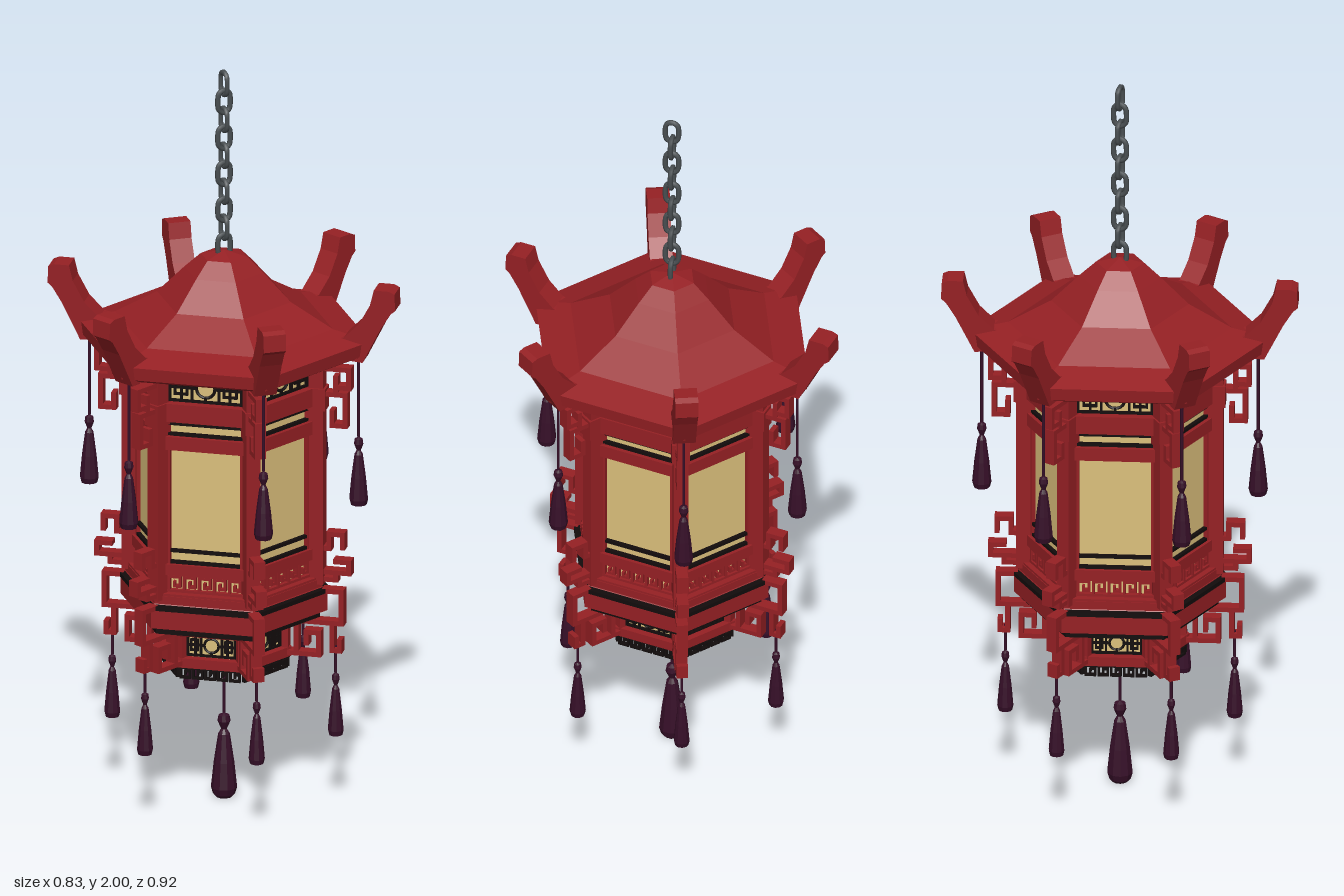
import * as THREE from 'three';
import { mergeGeometries } from 'three/addons/utils/BufferGeometryUtils.js';

const mat = (name, color) => {
  const m = new THREE.MeshStandardMaterial({ color });
  m.name = name;
  return m;
};

export function createModel() {
  const root = new THREE.Group();
  root.name = 'hangingLantern';
  const red = mat('lacquerRed', 0x962024);
  const cream = mat('paperCream', 0xdcc07c);
  const black = mat('inkBlack', 0x120c0c);
  const plum = mat('tasselPlum', 0x360f28);
  const iron = mat('chainIron', 0x4a5053);

  const add = (parent, name, geo, material) => {
    const m = new THREE.Mesh(geo, material);
    m.name = name;
    parent.add(m);
    return m;
  };
  // faceted lathe; six sides put corners on +z and -z
  const lathe = (pts, sides = 6) => {
    const g = new THREE.LatheGeometry(pts.map(p => new THREE.Vector2(...p)), sides).toNonIndexed();
    g.computeVertexNormals();
    return g;
  };
  const slab = (name, r, y0, y1, material) =>
    add(root, name, lathe([[0, y0], [r, y0], [r, y1], [0, y1]]), material);
  const box = (w, h, d, x, y, z) => new THREE.BoxGeometry(w, h, d).translate(x, y, z);
  // square bars along right-angled paths in the xy plane
  const bars = (paths, t, d) => mergeGeometries(paths.flatMap(p => p.slice(1).map((b, i) => {
    const a = p[i];
    return box(Math.abs(b[0] - a[0]) + t, Math.abs(b[1] - a[1]) + t, d, (a[0] + b[0]) / 2, (a[1] + b[1]) / 2, 0);
  })));
  const ring = (name, offset, build) => {
    for (let k = 0; k < 6; k++) {
      const g = new THREE.Group();
      g.name = name + (k + 1);
      g.rotation.y = (k + offset) * Math.PI / 3;
      build(g);
      root.add(g);
    }
  };

  // roof with a thick rim and sloping underside
  add(root, 'roof', lathe([
    [0, 1.27], [0.24, 1.27], [0.365, 1.24], [0.385, 1.25], [0.39, 1.285],
    [0.29, 1.31], [0.178, 1.375], [0.105, 1.45], [0.062, 1.49], [0, 1.505],
  ]), red);

  // paper core and stepped base
  slab('paperCore', 0.228, 0.6, 1.26, cream);
  add(root, 'platform', lathe([
    [0, 0.495], [0.2, 0.495], [0.215, 0.515], [0.25, 0.53], [0.275, 0.535],
    [0.275, 0.585], [0.262, 0.6], [0.262, 0.622], [0, 0.622],
  ]), red);
  slab('platformTopLine', 0.282, 0.586, 0.598, black);
  slab('platformLowLine', 0.255, 0.515, 0.526, black);
  slab('lowerCore', 0.155, 0.42, 0.5, cream);
  slab('bottomSlab', 0.18, 0.402, 0.428, red);

  // greek key band, width w, height h, centred on x = 0
  const greekKey = (w, h, n, t, d) => {
    const s = w / n, paths = [[[-w / 2, 0], [w / 2, 0]]];
    for (let i = 0; i < n; i++) {
      const x = -w / 2 + i * s + s * 0.1;
      paths.push([[x, 0], [x, h], [x + s * 0.72, h], [x + s * 0.72, h * 0.33], [x + s * 0.36, h * 0.33], [x + s * 0.36, h * 0.6]]);
    }
    return bars(paths, t, d);
  };
  // window lattice with a ring in the middle
  const lattice = (w, h, t, d) => {
    const a = w / 2, b = h / 2, r = h * 0.34, paths = [];
    const rect = (x0, y0, x1, y1) => paths.push([[x0, y0], [x1, y0], [x1, y1], [x0, y1], [x0, y0]]);
    rect(-a, -b, a, b);
    rect(-b, -b, b, b);
    for (const s of [-1, 1]) {
      rect(s * (b + w * 0.07), -b * 0.5, s * a * 0.86, b * 0.5);
      paths.push([[s * r, 0], [s * a, 0]], [[0, s * r], [0, s * b]], [[s * a * 0.68, -b], [s * a * 0.68, b]]);
    }
    return mergeGeometries([bars(paths, t, d), new THREE.TorusGeometry(r, t * 0.7, 6, 20)]);
  };

  // the six walls
  const friezeGeo = lattice(0.19, 0.072, 0.006, 0.008);
  const lowLatticeGeo = lattice(0.125, 0.056, 0.005, 0.008);
  const keyGeo = greekKey(0.2, 0.038, 5, 0.007, 0.012);
  const skirtGeo = greekKey(0.165, -0.026, 5, 0.006, 0.01);
  ring('wall', 0.5, g => {
    add(g, 'friezeLattice', friezeGeo, black).position.set(0, 1.193, 0.204);
    for (const [y, h, d] of [[1.125, 0.05, 0.03], [1.243, 0.02, 0.03], [1.04, 0.036, 0.024], [0.692, 0.03, 0.024], [0.622, 0.012, 0.04]])
      add(g, 'rail', box(0.235, h, d, 0, y, 0.205), red);
    for (const y of [1.092, 1.063, 0.742, 0.711])
      add(g, 'trimLine', box(0.22, 0.008, 0.012, 0, y, 0.202), black);
    for (const s of [-1, 1])
      add(g, 'windowStile', box(0.014, 0.36, 0.014, s * 0.1, 0.88, 0.202), red);
    add(g, 'keyBand', keyGeo, red).position.set(0, 0.633, 0.205);
    add(g, 'lowerLattice', lowLatticeGeo, black).position.set(0, 0.462, 0.139);
    add(g, 'lowerRail', box(0.15, 0.012, 0.02, 0, 0.494, 0.138), red);
    add(g, 'skirtKey', skirtGeo, black).position.set(0, 0.4, 0.147);
  });

  // upturned eave horn, drawn as (radius, height)
  const horn = new THREE.Shape([
    [0.26, 1.245], [0.375, 1.235], [0.4, 1.285], [0.425, 1.335], [0.45, 1.375], [0.462, 1.385],
    [0.46, 1.43], [0.445, 1.437], [0.405, 1.437], [0.395, 1.395], [0.365, 1.34], [0.325, 1.3], [0.26, 1.29],
  ].map(p => new THREE.Vector2(...p)));
  const hornGeo = new THREE.ExtrudeGeometry(horn, { depth: 0.06, bevelEnabled: false })
    .translate(0, 0, -0.03).rotateY(-Math.PI / 2);

  // corner scrolls
  const scroll = (paths, d) => bars(paths, 0.013, d).rotateY(-Math.PI / 2);
  const upperScroll = scroll([
    [[0.25, 1.205], [0.335, 1.205], [0.335, 1.155], [0.3, 1.155], [0.3, 1.18]],
    [[0.26, 1.135], [0.325, 1.135], [0.325, 1.05], [0.29, 1.05], [0.29, 1.085]],
    [[0.3, 1.135], [0.3, 1.155]],
  ], 0.03);
  const lowerScroll = scroll([
    [[0.25, 0.71], [0.282, 0.71], [0.282, 0.75], [0.318, 0.75], [0.318, 0.715]],
    [[0.25, 0.645], [0.335, 0.645], [0.335, 0.675], [0.3, 0.675]],
    [[0.3, 0.645], [0.3, 0.625], [0.275, 0.625]],
    [[0.27, 0.592], [0.315, 0.592], [0.315, 0.505], [0.2, 0.505]],
    [[0.17, 0.415], [0.255, 0.415], [0.255, 0.475], [0.222, 0.475], [0.222, 0.445]],
    [[0.195, 0.505], [0.195, 0.415]],
    [[0.29, 0.505], [0.29, 0.43], [0.31, 0.43], [0.31, 0.455]],
  ], 0.03);

  // tassel hanging from the origin: cord, knot and flared skirt
  const tassel = (parent, z, yTop, yKnot, yEnd, r) => {
    const h = yKnot - yEnd, g = new THREE.Group();
    g.name = 'tassel';
    add(g, 'cord', new THREE.CylinderGeometry(0.004, 0.004, yTop - yKnot, 6).translate(0, (yTop + yKnot) / 2, 0), plum);
    add(g, 'knotAndFringe', lathe([
      [0, 0], [r * 0.85, 0], [r, h * 0.08], [r * 0.78, h * 0.4], [r * 0.45, h * 0.74],
      [r * 0.22, h * 0.8], [r * 0.5, h * 0.9], [r * 0.42, h * 0.97], [0, h],
    ], 10).translate(0, yEnd, 0), plum);
    g.position.z = z;
    parent.add(g);
  };

  // the six corners
  ring('corner', 0, g => {
    add(g, 'eaveHorn', hornGeo, red);
    add(g, 'post', box(0.037, 0.64, 0.05, 0, 0.93, 0.243), red);
    add(g, 'postCap', box(0.046, 0.06, 0.062, 0, 1.12, 0.243), red);
    add(g, 'lowerPost', box(0.028, 0.09, 0.03, 0, 0.46, 0.158), red);
    add(g, 'upperScroll', upperScroll, red);
    add(g, 'lowerScroll', lowerScroll, red);
    tassel(g, 0.358, 1.25, 1.02, 0.835, 0.025);
    tassel(g, 0.297, 0.44, 0.365, 0.195, 0.021);
  });
  tassel(root, 0, 0.41, 0.23, 0.008, 0.034);
  add(root, 'tasselTip', new THREE.CylinderGeometry(0.028, 0.022, 0.008, 10).translate(0, 0.004, 0), plum);

  // chain of stadium-shaped links, turned alternately
  class LinkCurve extends THREE.Curve {
    getPoint(t, target = new THREE.Vector3()) {
      const a = t * Math.PI * 2, s = Math.sin(a);
      return target.set(Math.cos(a) * 0.018, s * 0.018 + Math.tanh(s * 4) * 0.0125, 0);
    }
  }
  const linkGeo = new THREE.TubeGeometry(new LinkCurve(), 28, 0.007, 6, true);
  for (let i = 0; i < 10; i++) {
    const link = add(root, 'chainLink', linkGeo, iron);
    link.position.y = 1.9625 - i * 0.0495;
    link.rotation.y = Math.PI / 2 * (i + 1) + 0.2;
  }
  return root;
}
